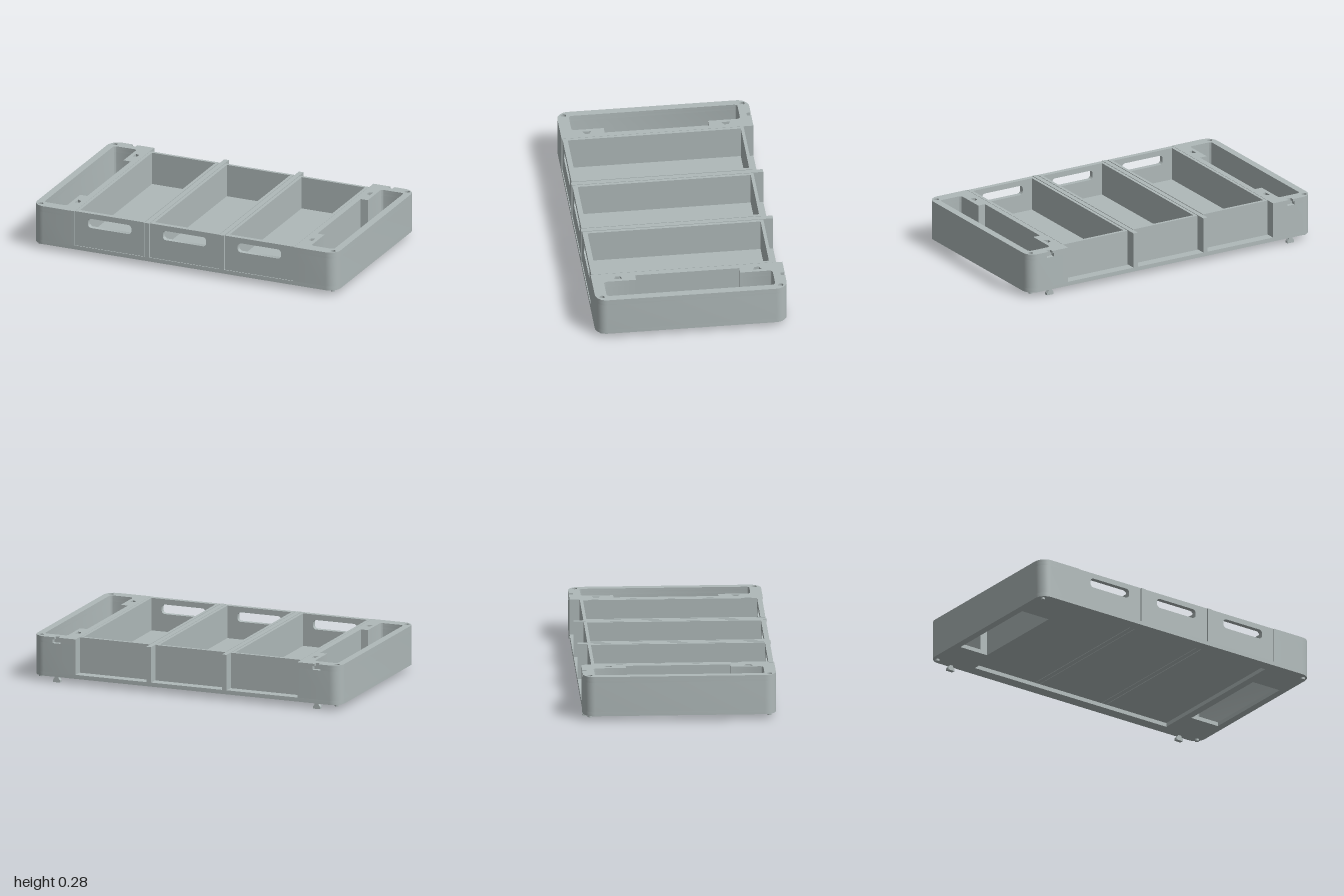
import * as THREE from 'three';
import { toCreasedNormals } from 'three/addons/utils/BufferGeometryUtils.js';

const plastic = new THREE.MeshStandardMaterial({ color: 0xafb9b9 });
plastic.name = 'grey plastic';

const BOTTOM = 0.033, FLOOR = 0.058, TOP = 0.277;
const BACK = -0.58, FRONT = 0.58;

function add(parent, name, geometry) {
  const mesh = new THREE.Mesh(geometry, plastic);
  mesh.name = name;
  parent.add(mesh);
  return mesh;
}

// Box given by its limits on each axis
function box(parent, name, x0, x1, y0, y1, z0, z1) {
  const g = new THREE.BoxGeometry(Math.abs(x1 - x0), y1 - y0, z1 - z0);
  g.translate((x0 + x1) / 2, (y0 + y1) / 2, (z0 + z1) / 2);
  return add(parent, name, g);
}

// Closed outline from [x, y, radius] corners
function outline(points, Type = THREE.Path) {
  const path = new Type();
  const n = points.length;
  points.forEach(([x, y, r = 0], i) => {
    const p = new THREE.Vector2(x, y);
    const toward = (q) => new THREE.Vector2(q[0], q[1]).sub(p).setLength(r).add(p);
    const a = toward(points[(i + n - 1) % n]), b = toward(points[(i + 1) % n]);
    if (i === 0) path.moveTo(a.x, a.y);
    else path.lineTo(a.x, a.y);
    if (r > 0) {
      // Cubic handles that give a circular corner
      const c = a.clone().lerp(p, 0.5523), d = b.clone().lerp(p, 0.5523);
      path.bezierCurveTo(c.x, c.y, d.x, d.y, b.x, b.y);
    }
  });
  path.closePath();
  return path;
}

const rect = (x0, x1, y0, y1, r = 0) => [[x0, y0, r], [x1, y0, r], [x1, y1, r], [x0, y1, r]];

// Horizontal slab: counter-clockwise plan in x and z, between two heights
function slab(parent, name, plan, holes, y0, y1) {
  const shape = outline(plan, THREE.Shape);
  shape.holes.push(...holes);
  const g = new THREE.ExtrudeGeometry(shape, { depth: y1 - y0, bevelEnabled: false, curveSegments: 8 });
  g.rotateX(Math.PI / 2).translate(0, y1, 0);
  return add(parent, name, toCreasedNormals(g, 0.6));
}

function circle(x, z, r) {
  return new THREE.Path().absarc(x, z, r, 0, Math.PI * 2);
}

// Hollow end section with side pocket, sockets and connector notches
function endSection(s) {
  const group = new THREE.Group();
  group.name = s > 0 ? 'leftEnd' : 'rightEnd';
  // Reversing the mirrored corners keeps the winding counter-clockwise
  const mirror = (pts) => (s > 0 ? pts : pts.map(([x, z, r]) => [-x, z, r]).reverse());

  const plan = (w) => mirror([
    [0.722, BACK],
    ...(w ? [[0.847 - w, BACK], [0.847 - w, BACK + 0.026], [0.847 + w, BACK + 0.026], [0.847 + w, BACK]] : []),
    [1, BACK, 0.07], [1, FRONT, 0.07], [0.722, FRONT],
  ]);
  const pocket = () => outline(mirror([
    [0.805, -0.51, 0.02], [0.955, -0.51, 0.02], [0.955, 0.51, 0.02], [0.805, 0.51, 0.02],
    [0.805, 0.315], [0.758, 0.315], [0.758, -0.315], [0.805, -0.315],
  ]));
  const dovetails = () => [-0.42, 0.42].map((z) => outline(mirror([
    [0.756, z - 0.014], [0.782, z - 0.026], [0.782, z + 0.026], [0.756, z + 0.014],
  ])));
  const sockets = [-0.54, 0.54].map((z) => circle(s * 0.963, z, 0.016));

  slab(group, 'endWall', plan(0), [pocket()], FLOOR, 0.24);
  slab(group, 'notchLayer', plan(0.025), [pocket(), ...dovetails()], 0.24, 0.262);
  slab(group, 'rimLayer', plan(0.014), [pocket(), ...dovetails(), ...sockets], 0.262, TOP);

  // Stacking pins below the corners
  for (const z of [-0.54, 0.54]) {
    const pin = new THREE.CylinderGeometry(0.013, 0.013, 0.016, 20);
    add(group, 'stackingPin', toCreasedNormals(pin, 0.6)).position.set(s * 0.963, 0.028, z);
  }

  // Flared connector clip below the back edge
  const profile = outline([
    [-0.012, 0.038], [-0.012, 0.028], [-0.023, 0.013], [-0.023, 0],
    [0.023, 0], [0.023, 0.013], [0.012, 0.028], [0.012, 0.038],
  ], THREE.Shape);
  const clip = new THREE.ExtrudeGeometry(profile, { depth: 0.024, bevelEnabled: false });
  add(group, 'connectorClip', clip).position.set(s * 0.847, 0, BACK);
  return group;
}

// Open drawer with a hand slot in its front
function drawer(x) {
  const group = new THREE.Group();
  group.name = 'drawer';
  const w = 0.227, t = 0.019, z0 = -0.52, z1 = 0.545;
  box(group, 'drawerFloor', -w, w, FLOOR, FLOOR + 0.018, z0, z1);
  box(group, 'drawerBack', -w, w, FLOOR, TOP, z0, z0 + t);
  for (const s of [-1, 1]) {
    box(group, 'drawerSide', s * w, s * (w - t), FLOOR, TOP, z0, z1);
  }
  const face = outline(rect(-w, w, FLOOR, TOP), THREE.Shape);
  face.holes.push(outline(rect(-0.143, 0.143, 0.185, 0.244, 0.022)));
  const front = new THREE.ExtrudeGeometry(face, { depth: 0.03, bevelEnabled: false, curveSegments: 8 });
  add(group, 'drawerFront', toCreasedNormals(front, 0.6)).position.z = z1;
  group.position.x = x;
  return group;
}

export function createModel() {
  const model = new THREE.Group();
  model.name = 'drawerFrame';

  // Base plate with a wide centre opening and one opening at each end
  slab(model, 'basePlate', rect(-1, 1, BACK, FRONT, 0.07), [
    outline(rect(-0.71, 0.71, -0.505, 0.505)),
    outline(rect(0.758, 0.955, -0.315, 0.315)),
    outline(rect(-0.955, -0.758, -0.315, 0.315)),
  ], BOTTOM, FLOOR);

  for (const s of [-1, 1]) {
    model.add(endSection(s));
    box(model, 'divider', s * 0.231, s * 0.261, FLOOR, TOP, BACK, FRONT);
  }
  for (const x of [-0.493, 0, 0.493]) model.add(drawer(x));
  return model;
}
